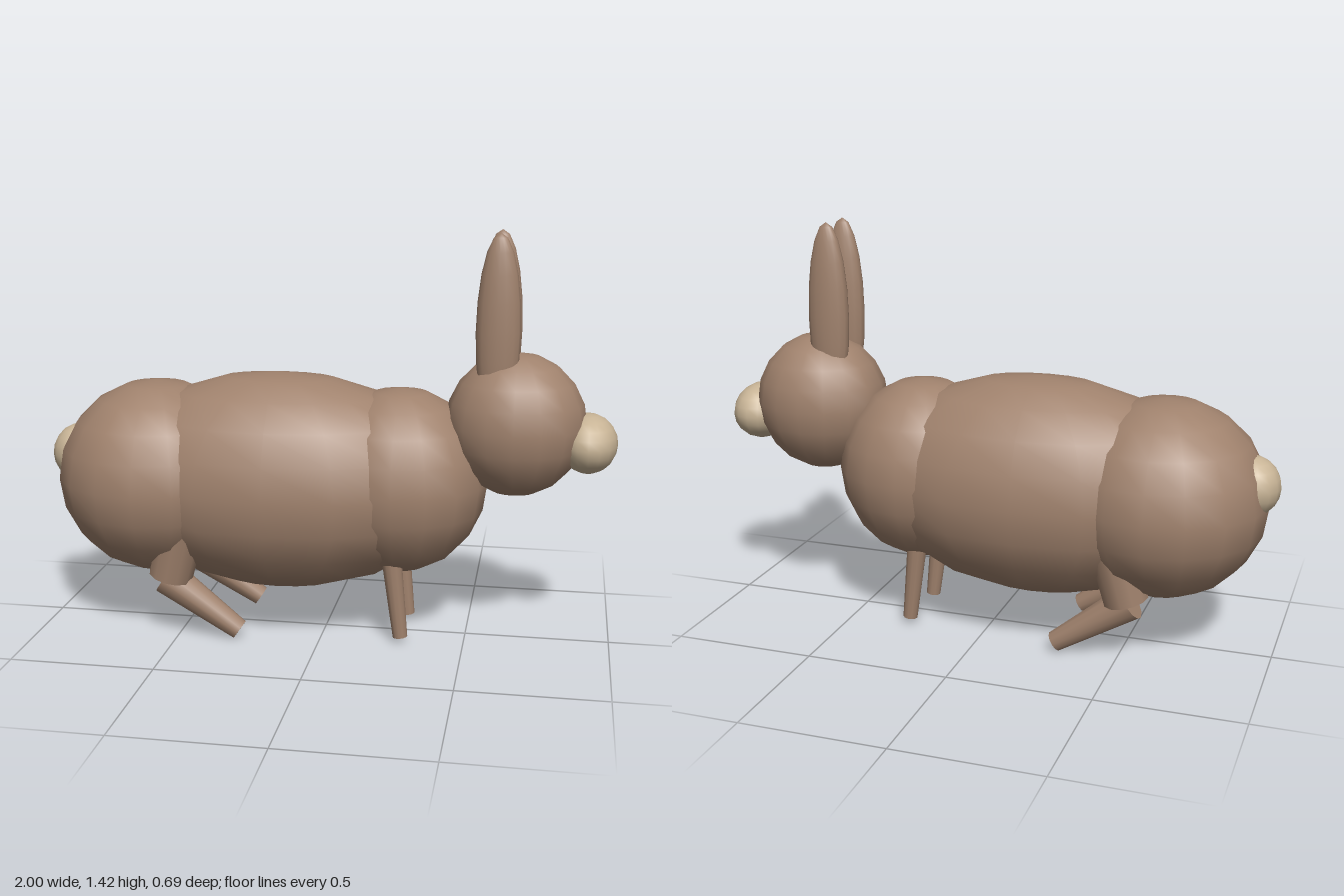
import * as THREE from 'three';

const fur = new THREE.MeshStandardMaterial({ color: 0xa0826d });
const paleFur = new THREE.MeshStandardMaterial({ color: 0xc8b496 });

// Ellipsoid from centre and radii
function ellipsoid(name, center, radii, material = fur) {
  const geometry = new THREE.SphereGeometry(1, 16, 10);
  geometry.scale(...radii);
  const mesh = new THREE.Mesh(geometry, material);
  mesh.name = name;
  mesh.position.set(...center);
  return mesh;
}

// Tapered limb running from point a (radius ra) to point b (radius rb)
function limb(name, a, b, ra, rb) {
  const from = new THREE.Vector3(...a);
  const to = new THREE.Vector3(...b);
  const axis = from.clone().sub(to);
  const mesh = new THREE.Mesh(new THREE.CylinderGeometry(ra, rb, axis.length(), 12), fur);
  mesh.name = name;
  mesh.position.copy(from).add(to).multiplyScalar(0.5);
  mesh.quaternion.setFromUnitVectors(new THREE.Vector3(0, 1, 0), axis.normalize());
  return mesh;
}

export function createModel() {
  const rabbit = new THREE.Group();
  rabbit.name = 'rabbit';

  // Trunk, head and tail along x
  rabbit.add(
    ellipsoid('rump', [-0.61, 0.545, 0], [0.355, 0.345, 0.345]),
    ellipsoid('belly', [-0.165, 0.547, 0], [0.64, 0.385, 0.343]),
    ellipsoid('chest', [0.262, 0.565, 0], [0.303, 0.325, 0.287]),
    ellipsoid('head', [0.655, 0.777, 0], [0.24, 0.248, 0.21]),
    ellipsoid('muzzle', [0.9, 0.72, 0], [0.1, 0.102, 0.133], paleFur),
    ellipsoid('tail', [-0.9, 0.613, 0], [0.1, 0.105, 0.1], paleFur),
  );

  // Mirrored pairs
  for (const [side, s] of [['near', 1], ['far', -1]]) {
    rabbit.add(
      ellipsoid(side + 'Ear', [0.59, 1.1, s * 0.067], [0.075, 0.33, 0.045]),
      limb(side + 'FrontLeg', [0.243, 0.36, s * 0.119], [0.281, 0.026, s * 0.116], 0.037, 0.026),
      limb(side + 'Thigh', [-0.47, 0.45, s * 0.185], [-0.527, 0.222, s * 0.17], 0.085, 0.078),
      limb(side + 'HindFoot', [-0.543, 0.215, s * 0.165], [-0.28, 0.036, s * 0.175], 0.063, 0.036),
    );
  }
  return rabbit;
}
